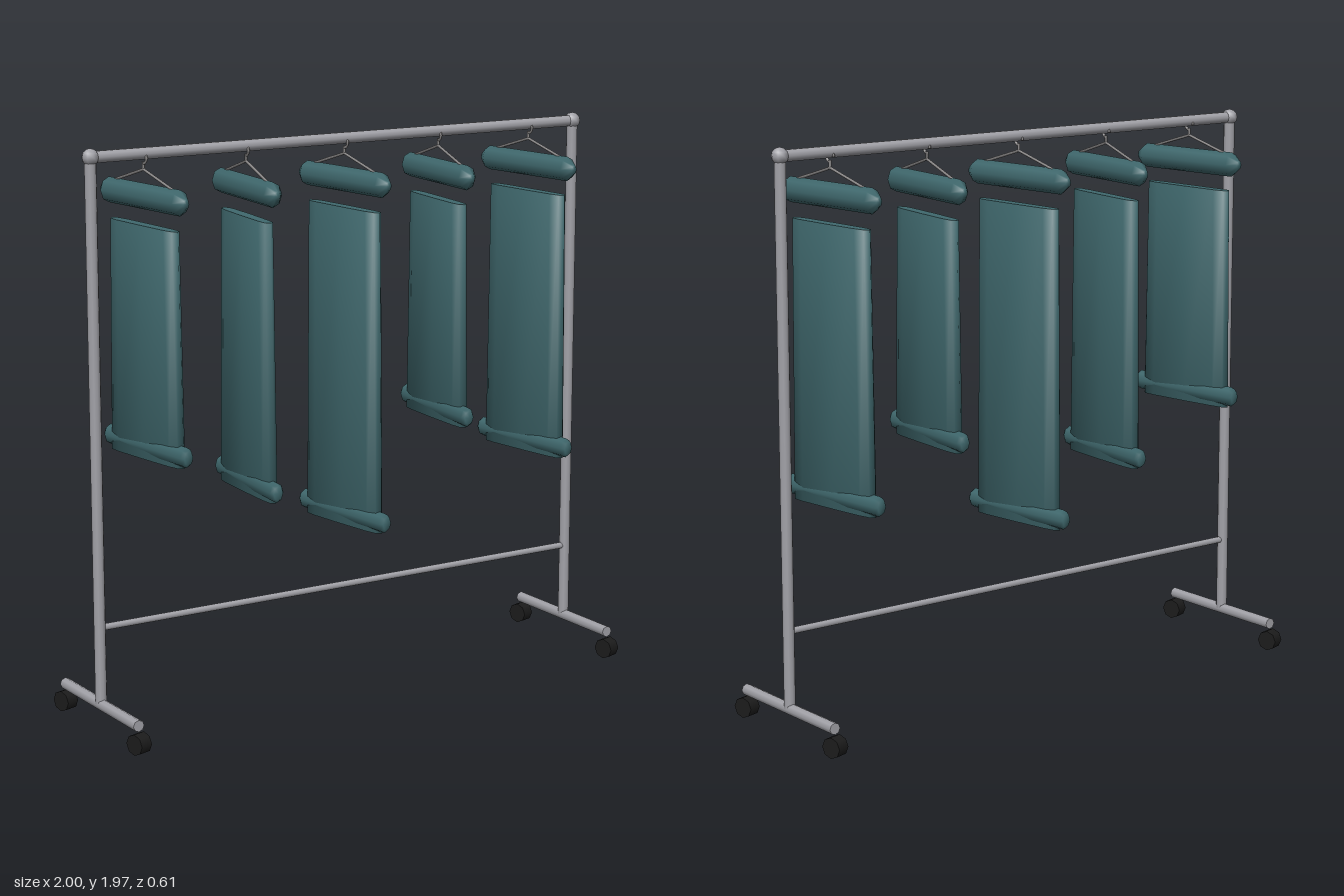
import * as THREE from 'three';

const material = (name, color) => {
  const m = new THREE.MeshStandardMaterial({ color });
  m.name = name;
  return m;
};

export function createModel() {
  const model = new THREE.Group();
  model.name = 'garmentRack';
  const metal = material('brushedMetal', 0xa2a2a8);
  const wire = material('hangerWire', 0x8c8a8a);
  const rubber = material('blackRubber', 0x1c1c1c);
  const cloth = material('tealCloth', 0x40696e);

  const add = (parent, name, geometry, mat, x = 0, y = 0, z = 0) => {
    const mesh = new THREE.Mesh(geometry, mat);
    mesh.name = name;
    mesh.position.set(x, y, z);
    parent.add(mesh);
    return mesh;
  };

  // Straight rod between two points
  const rod = (parent, name, a, b, r, mat, sides = 10) => {
    const from = new THREE.Vector3(...a), dir = new THREE.Vector3(...b).sub(from);
    const mesh = add(parent, name, new THREE.CylinderGeometry(r, r, dir.length(), sides), mat);
    mesh.position.copy(from).addScaledVector(dir, 0.5);
    mesh.quaternion.setFromUnitVectors(new THREE.Vector3(0, 1, 0), dir.normalize());
    return mesh;
  };

  // Faceted roll of cloth lying along z, with chamfered ends
  const roll = (halfX, halfY, halfZ, endSize, chamfer) => {
    const profile = [[0, -halfZ], [endSize, -halfZ], [1, chamfer - halfZ],
      [1, halfZ - chamfer], [endSize, halfZ], [0, halfZ]];
    return new THREE.LatheGeometry(profile.map(p => new THREE.Vector2(...p)), 8)
      .rotateX(Math.PI / 2).scale(halfX, halfY, 1);
  };

  // Hanging cloth: soft rectangular section, slightly twisted from top to bottom
  const clothPanel = (height) => {
    const g = new THREE.CylinderGeometry(1, 1, height, 12);
    const p = g.attributes.position, n = g.attributes.normal;
    const soften = v => Math.sign(v) * Math.sqrt(Math.abs(v));
    const normal = new THREE.Vector3();
    for (let i = 0; i < p.count; i++) {
      const x = 0.021 * soften(p.getX(i)), z = 0.2 * soften(p.getZ(i));
      const top = Math.sign(p.getY(i)), a = -0.03 * top;
      p.setXYZ(i, x * Math.cos(a) + z * Math.sin(a), p.getY(i), z * Math.cos(a) - x * Math.sin(a));
      if (Math.abs(n.getY(i)) < 0.5) {
        normal.set(n.getX(i), 0.25 * top, 0.5 * n.getZ(i)).normalize();
        n.setXYZ(i, normal.x, normal.y, normal.z);
      }
    }
    return g;
  };

  // Frame
  const barY = 1.937, postX = 0.967, footY = 0.096, footZ = 0.265;
  rod(model, 'topRail', [-postX, barY, 0], [postX, barY, 0], 0.02, metal);
  rod(model, 'lowerRail', [-postX, 0.363, 0], [postX, 0.363, 0], 0.012, metal, 8);
  for (const side of [-1, 1]) {
    const frame = new THREE.Group();
    frame.name = side > 0 ? 'leftEndFrame' : 'rightEndFrame';
    frame.position.x = side * postX;
    model.add(frame);
    rod(frame, 'post', [0, footY, 0], [0, barY, 0], 0.02, metal);
    rod(frame, 'foot', [0, footY, -footZ], [0, footY, footZ], 0.02, metal, 8);
    add(frame, 'cornerJoint', new THREE.SphereGeometry(0.029, 8, 6), metal, 0, barY);
    for (const end of [-1, 1]) {
      const wheel = new THREE.CylinderGeometry(0.036, 0.036, 0.046, 8);
      wheel.rotateZ(Math.PI / 2).rotateY(0.3);
      add(frame, 'caster', wheel, rubber, 0, 0.036, end * footZ);
    }
  }

  // Garments on hangers, turned alternately
  const panelTop = 1.704;
  [0.92, 0.755, 0.588, 0.92, 0.755].forEach((bottom, i) => {
    const garment = new THREE.Group();
    garment.name = 'garment' + (i + 1);
    garment.position.x = (i - 2) * 0.387;
    garment.rotation.y = i % 2 ? -0.1 : 0.1;
    model.add(garment);

    // Hanger
    rod(garment, 'hangerNeck', [0, 1.88, 0], [0, 1.91, 0], 0.005, wire, 6);
    const hook = add(garment, 'hangerHook',
      new THREE.TorusGeometry(0.018, 0.005, 5, 12, Math.PI * 1.5), wire, 0, 1.922, 0);
    hook.rotation.set(0, Math.PI / 2, 0);
    for (const s of [-1, 1]) {
      rod(garment, 'hangerArm', [0, 1.885, 0], [0, 1.825, s * 0.2], 0.005, wire, 6);
    }

    // Cloth parts
    add(garment, 'shoulderRoll', roll(0.034, 0.043, 0.24, 0.35, 0.035), cloth, 0, 1.797);
    add(garment, 'clothPanel', clothPanel(panelTop - bottom), cloth, 0, (panelTop + bottom) / 2);
    add(garment, 'hemRoll', roll(0.025, 0.035, 0.236, 0.7, 0.014), cloth, 0, bottom + 0.043);
  });

  return model;
}
